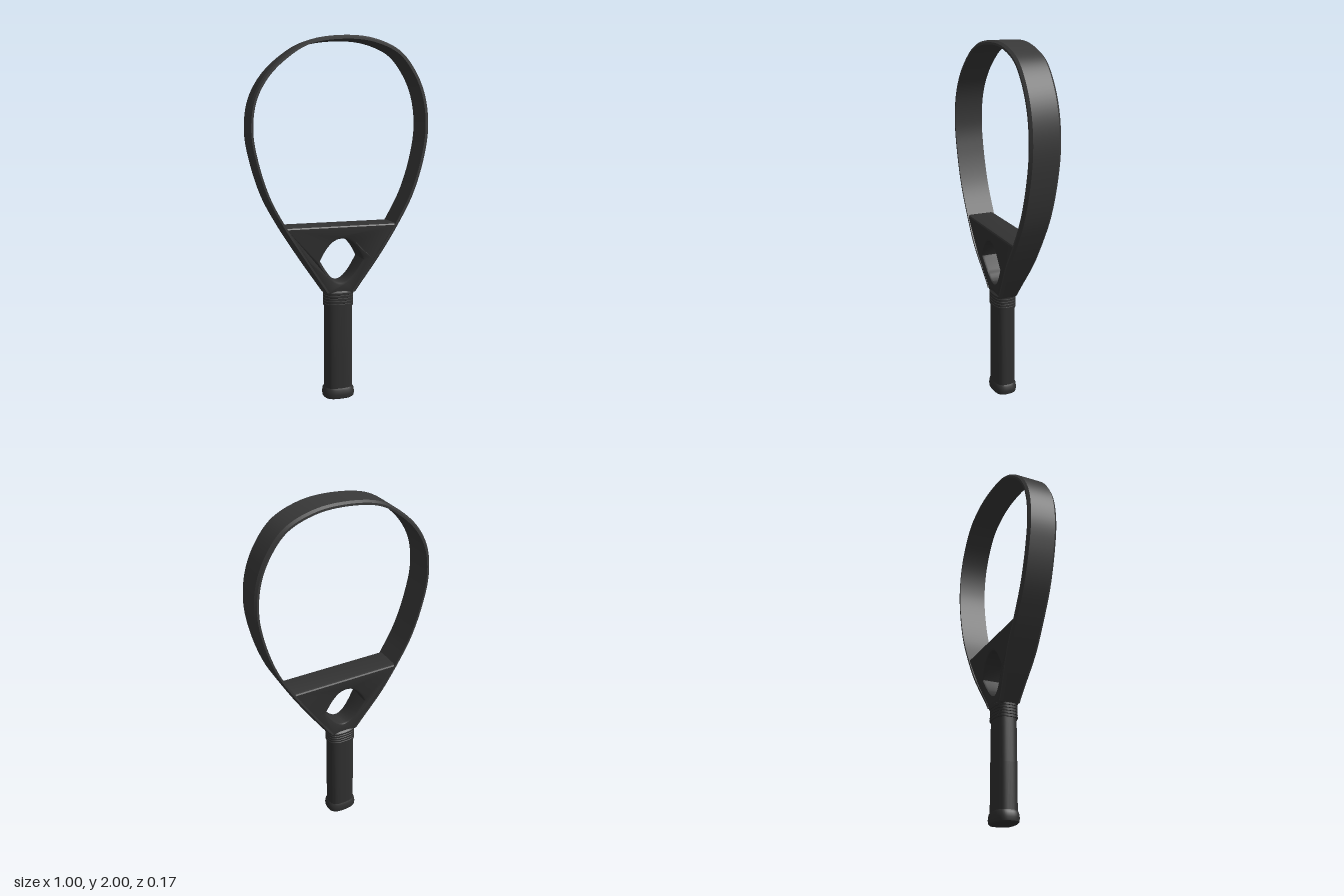
import * as THREE from 'three';
import { toCreasedNormals } from 'three/addons/utils/BufferGeometryUtils.js';

const frameMat = new THREE.MeshStandardMaterial({ color: 0x393939 });
frameMat.name = 'frame charcoal';
const throatMat = new THREE.MeshStandardMaterial({ color: 0x323232 });
throatMat.name = 'throat dark grey';
const gripMat = new THREE.MeshStandardMaterial({ color: 0x303030 });
gripMat.name = 'grip black';

// Half depth of the head, slimming towards the handle
function halfDepth(y) {
  return THREE.MathUtils.lerp(0.056, 0.083, THREE.MathUtils.smoothstep(y, 0.58, 0.88));
}

function addMesh(group, name, geometry, material) {
  const mesh = new THREE.Mesh(geometry, material);
  mesh.name = name;
  group.add(mesh);
  return mesh;
}

// Chamfered band swept around the head outline
function frameGeometry() {
  const outline = new THREE.CatmullRomCurve3([
    [0.085, 0.61], [0.205, 0.79], [0.337, 1.0], [0.415, 1.15], [0.475, 1.34], [0.5, 1.52],
    [0.478, 1.69], [0.42, 1.82], [0.33, 1.925], [0.19, 1.985], [0.03, 2.0],
    [-0.18, 1.968], [-0.31, 1.89], [-0.415, 1.785], [-0.48, 1.66], [-0.5, 1.5],
    [-0.475, 1.34], [-0.415, 1.15], [-0.337, 1.0], [-0.205, 0.79], [-0.085, 0.61],
  ].map(([x, y]) => new THREE.Vector3(x, y, 0)));
  // section corners: inset from the outline, z inset, side
  const section = [[0, 0.013, 1], [0.01, 0, 1], [0.021, 0, 1], [0.021, 0, -1], [0.01, 0, -1], [0, 0.013, -1]];
  const steps = 160;
  const pos = [];
  const index = [];
  section.forEach((a, s) => {
    const b = section[(s + 1) % section.length];
    const base = pos.length / 3;
    for (let i = 0; i <= steps; i++) {
      const p = outline.getPointAt(i / steps);
      const t = outline.getTangentAt(i / steps);
      for (const [inset, dz, side] of [a, b]) {
        pos.push(p.x - t.y * inset, p.y + t.x * inset, side * (halfDepth(p.y) - dz));
      }
      if (i < steps) {
        const k = base + i * 2;
        index.push(k, k + 2, k + 1, k + 1, k + 2, k + 3);
      }
    }
  });
  const geo = new THREE.BufferGeometry();
  geo.setAttribute('position', new THREE.Float32BufferAttribute(pos, 3));
  geo.setIndex(index);
  geo.computeVertexNormals();
  return geo;
}

// Solid bridge with a rounded diamond opening
function throatGeometry() {
  const shape = new THREE.Shape();
  shape.moveTo(-0.075, 0.605);
  shape.lineTo(0.075, 0.605);
  shape.lineTo(0.193, 0.79);
  shape.lineTo(0.322, 0.993);
  shape.lineTo(-0.322, 0.993);
  shape.lineTo(-0.193, 0.79);
  shape.closePath();
  const hole = new THREE.Path();
  hole.moveTo(0, 0.672);
  hole.bezierCurveTo(-0.045, 0.672, -0.09, 0.745, -0.122, 0.8);
  hole.bezierCurveTo(-0.1, 0.85, -0.06, 0.92, 0, 0.92);
  hole.bezierCurveTo(0.06, 0.92, 0.1, 0.85, 0.122, 0.8);
  hole.bezierCurveTo(0.09, 0.745, 0.045, 0.672, 0, 0.672);
  shape.holes.push(hole);
  const geo = new THREE.ExtrudeGeometry(shape, {
    depth: 1.6, bevelEnabled: true, bevelThickness: 0.2, bevelSize: 0.014,
    bevelOffset: -0.014, bevelSegments: 2, curveSegments: 12,
  });
  // map the unit depth -1..1 onto the tapering thickness
  const p = geo.attributes.position;
  for (let i = 0; i < p.count; i++) {
    p.setZ(i, (p.getZ(i) - 0.8) * (halfDepth(p.getY(i)) - 0.004));
  }
  return toCreasedNormals(geo, 0.5);
}

// Lathe squared off into a rounded rectangular section
function handleGeometry(profile) {
  const geo = new THREE.LatheGeometry(profile.map(([r, y]) => new THREE.Vector2(r, y)), 48);
  const p = geo.attributes.position;
  for (let i = 0; i < p.count; i++) {
    const x = p.getX(i), z = p.getZ(i);
    const r = Math.hypot(x, z);
    if (r < 1e-6) continue;
    const k = 1 / Math.pow(Math.abs(x / r) ** 2.8 + Math.abs(z / r) ** 2.8, 1 / 2.8);
    p.setX(i, x * k);
    p.setZ(i, z * k * 0.77);
  }
  return toCreasedNormals(geo, 0.6);
}

export function createModel() {
  const model = new THREE.Group();
  model.name = 'racket';

  addMesh(model, 'headFrame', frameGeometry(), frameMat);
  addMesh(model, 'throat', throatGeometry(), throatMat);

  addMesh(model, 'grip', handleGeometry([[0.079, 0.04], [0.078, 0.3], [0.076, 0.56]]), gripMat);
  addMesh(model, 'buttCap', handleGeometry([
    [0, 0], [0.08, 0], [0.087, 0.006], [0.09, 0.025], [0.086, 0.05], [0.078, 0.062],
  ]), gripMat);

  // Ribbed collar closing the top of the grip
  const collar = [[0.074, 0.535]];
  for (let i = 0; i < 5; i++) {
    const y = 0.537 + i * 0.016;
    collar.push([0.083, y], [0.083, y + 0.012], [0.079, y + 0.014]);
  }
  collar.push([0.07, 0.622], [0, 0.622]);
  addMesh(model, 'collar', handleGeometry(collar), gripMat);

  return model;
}
